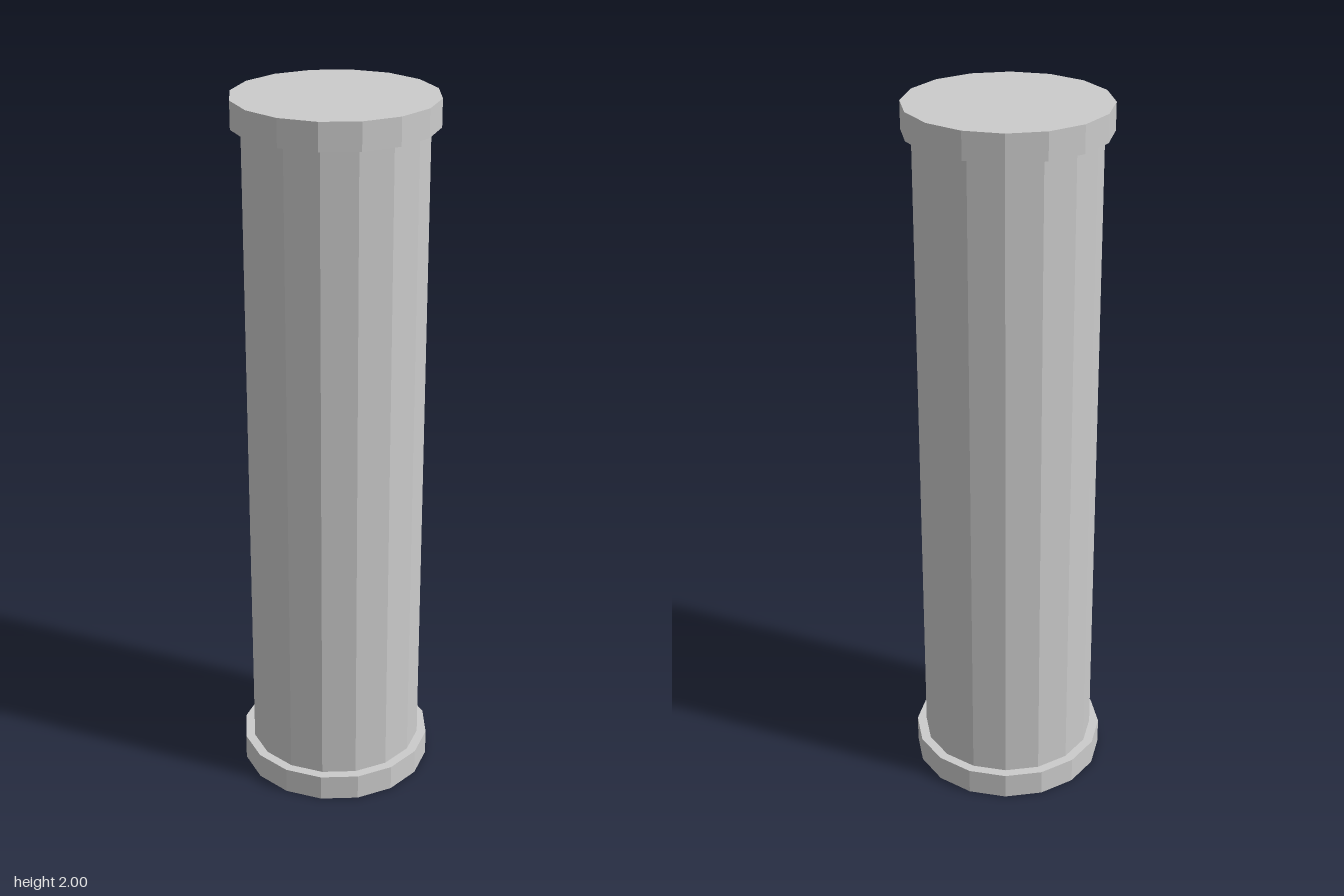
import * as THREE from 'three';

const SIDES = 16;
const HEIGHT = 2;
const RIM_RADIUS = 0.275;
const RIM_HEIGHT = 0.075;
const SHAFT_RADIUS = 0.248;

export function createModel() {
  const model = new THREE.Group();
  model.name = 'column';
  const material = new THREE.MeshStandardMaterial({ color: 0xcccccc, flatShading: true });

  // Adds an upright 16-sided drum standing on height y
  const addDrum = (name, radius, height, y, open = false) => {
    const geometry = new THREE.CylinderGeometry(radius, radius, height, SIDES, 1, open);
    const mesh = new THREE.Mesh(geometry, material);
    mesh.name = name;
    mesh.position.y = y + height / 2;
    model.add(mesh);
  };

  // Plinth and capital discs, with the shaft between them
  addDrum('base', RIM_RADIUS, RIM_HEIGHT, 0);
  addDrum('shaft', SHAFT_RADIUS, HEIGHT - 2 * RIM_HEIGHT, RIM_HEIGHT, true);
  addDrum('capital', RIM_RADIUS, RIM_HEIGHT, HEIGHT - RIM_HEIGHT);

  return model;
}
